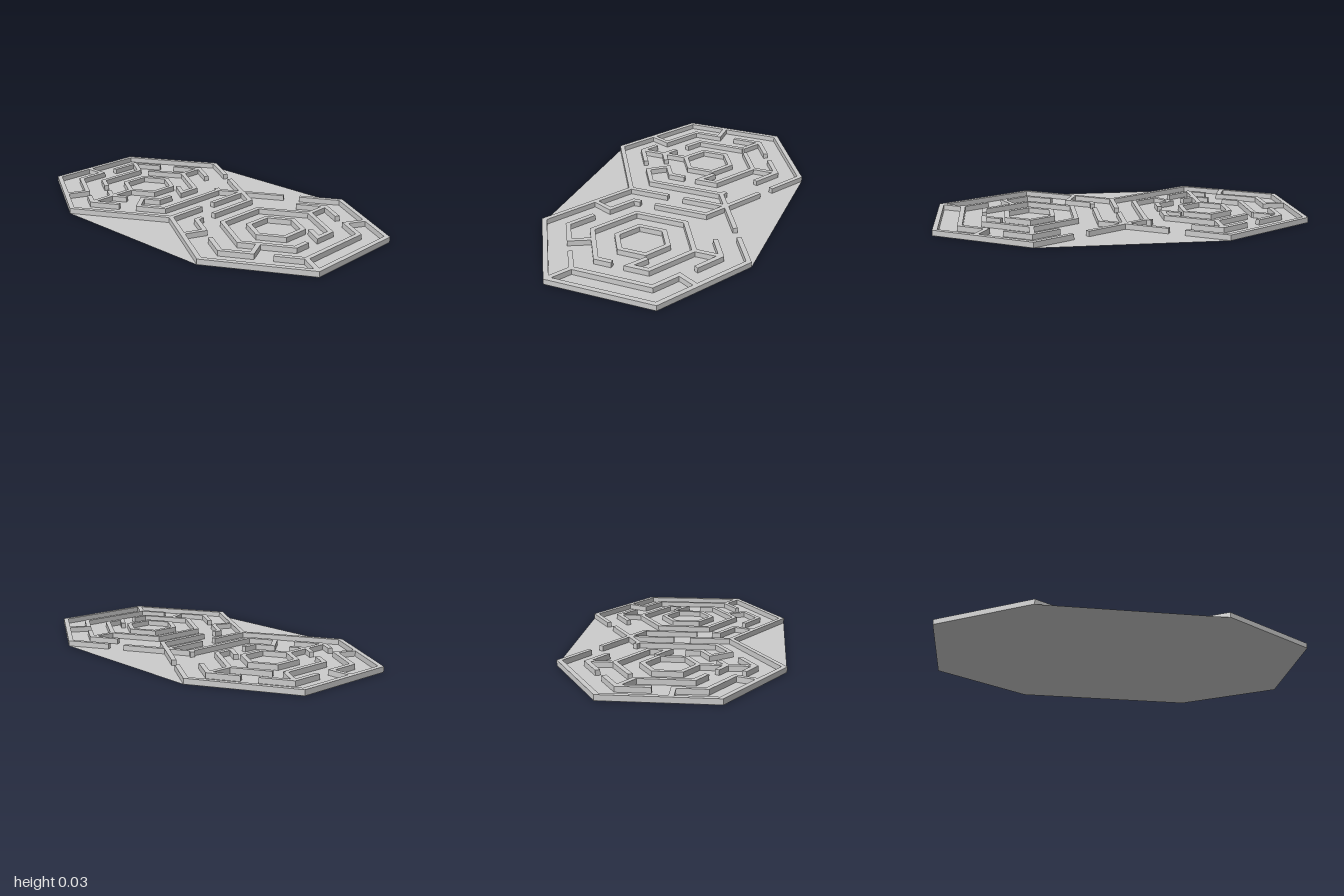
import * as THREE from 'three';

const STEP = 0.1425;          // corner radius added by each hexagonal ring
const CENTRE = 0.4935;        // x of the two hexagon centres
const HALF = 0.013;           // half the wall thickness
const BASE = 0.001, HEIGHT = 0.03;

// Corner i of a ring: 0 is the back corner, counting towards +x.
function corner(k, i) {
  const a = (i * Math.PI) / 3;
  return new THREE.Vector2(Math.sin(a), Math.cos(a)).multiplyScalar(k * STEP);
}

// Point on ring k; t runs 0..6 around the hexagon.
function at(k, t) {
  const i = Math.floor(t);
  return corner(k, i).lerp(corner(k, i + 1), t - i);
}

// Turns [ring, t] stops into points, adding ring corners passed on the way.
function trace(stops) {
  const pts = [];
  stops.forEach(([k, t], n) => {
    if (n > 0 && stops[n - 1][0] === k) {
      const from = stops[n - 1][1], dir = Math.sign(t - from);
      let c = dir > 0 ? Math.floor(from) + 1 : Math.ceil(from) - 1;
      for (; (t - c) * dir > 1e-6; c += dir) pts.push(corner(k, c));
    }
    pts.push(at(k, t));
  });
  return pts;
}

// Mitred strip of constant thickness along a path.
function strip(pts) {
  const left = [], right = [];
  const normal = (a, b) => {
    const d = b.clone().sub(a).normalize();
    return new THREE.Vector2(-d.y, d.x);
  };
  pts.forEach((p, i) => {
    const n1 = i > 0 ? normal(pts[i - 1], p) : normal(p, pts[i + 1]);
    const n2 = i < pts.length - 1 ? normal(p, pts[i + 1]) : n1;
    const m = n1.clone().add(n2).normalize();
    m.multiplyScalar(HALF / m.dot(n1));
    left.push(p.clone().add(m));
    right.unshift(p.clone().sub(m));
  });
  return new THREE.Shape([...left, ...right]);
}

// Each wall is a list of [ring, t] stops.
const LEFT_SIDE = {
  rim: [
    [[4, 0.41], [4, 0], [4, -2], [4, -4], [4, -4.4]],  // outer wall to the centre gap
    [[4, 0.57], [4, 1], [4, 1.44]],
  ],
  outerMazeWall: [
    [[4, 4.4], [3, 4.37], [3, 3.445], [4, 3.43]],
    [[3, 4.61], [3, 5.4]],
    [[3, 5.61], [3, 6.39]],
    [[3, 0.92], [3, 2.36], [2, 2.35], [2, 1.69]],
    [[3, 2.62], [3, 3.25]],
  ],
  innerMazeWall: [
    [[2, 3.63], [2, 5]],
    [[2, 5.22], [2, 7.37], [1.28, 0.97]],
    [[2, 2.68], [2, 3.32]],
  ],
  spoke: [
    [[3, 0], [2, 0]],
    [[4, 1], [3, 1]],
    [[3, 5], [2, 5]],
    [[3, 3], [1, 3]],
  ],
  centreRing: [[[1, 0.5], [1, 6.5]]],
};

const RIGHT_SIDE = {
  rim: [
    [[4, 5.59], [4, 6], [4, 10]],
    [[4, 5], [4, 5.43]],
  ],
  outerMazeWall: [
    [[4, 0.58], [3, 0.62], [3, 2.37]],
    [[3, 5.62], [3, 6.38]],
    [[4, 5], [3, 5], [3, 4.3]],
    [[3, 4.1], [3, 3.63], [4, 3.57]],
    [[3, 3.38], [3, 2.62], [2, 2.65]],
  ],
  innerMazeWall: [[[2, 1.69], [2, 7.37], [1.28, 0.97]]],
  spoke: [
    [[3, 0], [2, 0]],
    [[3, 2], [4, 2]],
  ],
  centreRing: [[[1, 0.5], [1, 6.5]]],
};

export function createModel() {
  const model = new THREE.Group();
  model.name = 'hexagonMazeBoard';
  const grey = new THREE.MeshStandardMaterial({ color: 0xcccccc, flatShading: true });
  const thin = new THREE.MeshStandardMaterial({ color: 0xcccccc, side: THREE.DoubleSide });

  // Thin floor: the outline around both hexagons
  const outer = (STEP * 4) + HALF / Math.cos(Math.PI / 6);
  const outline = [[3, -1], [4, -1], [5, -1], [0, -1], [0, 1], [1, 1], [2, 1], [3, 1]]
    .map(([i, s]) => corner(outer / STEP, i).add(new THREE.Vector2(s * CENTRE, 0)));
  const floor = new THREE.Mesh(new THREE.ShapeGeometry(new THREE.Shape(outline)), thin);
  floor.name = 'floor';
  floor.rotation.x = -Math.PI / 2;
  model.add(floor);

  // Raised walls of the two mazes
  for (const [name, x, parts] of [['mazeAtMinusX', -CENTRE, LEFT_SIDE], ['mazeAtPlusX', CENTRE, RIGHT_SIDE]]) {
    const maze = new THREE.Group();
    maze.name = name;
    maze.position.set(x, BASE, 0);
    for (const [part, walls] of Object.entries(parts)) {
      for (const stops of walls) {
        const geometry = new THREE.ExtrudeGeometry(strip(trace(stops)), {
          depth: HEIGHT - BASE, bevelEnabled: false,
        });
        geometry.rotateX(-Math.PI / 2);
        const wall = new THREE.Mesh(geometry, grey);
        wall.name = part;
        maze.add(wall);
      }
    }
    model.add(maze);
  }
  return model;
}
